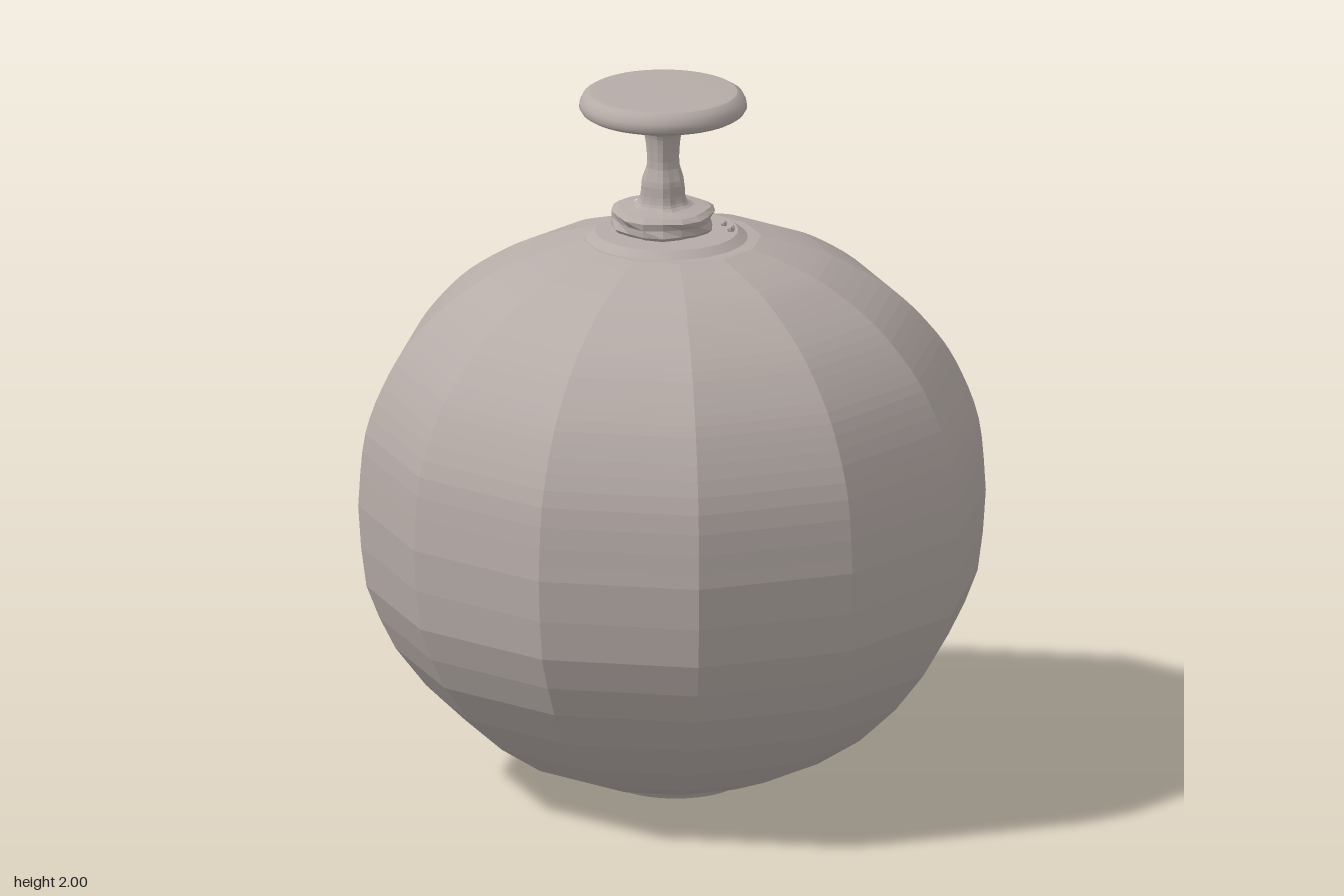
import * as THREE from 'three';

const shell = new THREE.MeshStandardMaterial({ color: 0xb5aba7 });
shell.name = 'warm grey';
const shellFaceted = new THREE.MeshStandardMaterial({ color: 0xb5aba7, flatShading: true });
shellFaceted.name = 'warm grey faceted';

const points = (list) => list.map(([r, y]) => new THREE.Vector2(r, y));

function add(parent, name, geometry, material) {
  const mesh = new THREE.Mesh(geometry, material);
  mesh.name = name;
  parent.add(mesh);
  return mesh;
}

export function createModel() {
  const model = new THREE.Group();
  model.name = 'gourdJar';

  // Twelve-sided body: coarse bands below, fine curve above
  const lower = points([[0, 0.005], [0.185, 0.01], [0.31, 0.045], [0.45, 0.1], [0.58, 0.185],
    [0.69, 0.29], [0.775, 0.4], [0.82, 0.49], [0.857, 0.585], [0.872, 0.7]]);
  const upper = new THREE.SplineCurve(points([[0.88, 0.82], [0.86, 1.03], [0.795, 1.2],
    [0.72, 1.31], [0.62, 1.41], [0.48, 1.5], [0.37, 1.545], [0.25, 1.58]])).getPoints(28);
  const body = new THREE.LatheGeometry([...lower, ...upper, new THREE.Vector2(0, 1.583)],
    12, THREE.MathUtils.degToRad(5.3));
  add(model, 'body', body, shellFaceted);

  // Round flat base
  add(model, 'base', new THREE.CylinderGeometry(0.19, 0.18, 0.015, 32), shell).position.set(0.01, 0.0075, 0.015);

  // Low round collar on top of the body
  const collar = new THREE.CylinderGeometry(0.2, 0.235, 0.025, 40);
  add(model, 'collar', collar, shell).position.set(-0.015, 1.587, -0.01);

  // Knob assembly, slightly off the body's axis
  const knob = new THREE.Group();
  knob.name = 'knob';
  knob.position.set(-0.025, 0, -0.03);
  model.add(knob);

  // Irregular foot: the rim is pushed in and out around its sides
  const foot = new THREE.LatheGeometry(points([[0.125, 1.595], [0.142, 1.61], [0.138, 1.63],
    [0.145, 1.65], [0.13, 1.662], [0.085, 1.67]]), 16);
  const p = foot.attributes.position;
  for (let i = 0; i < p.count; i++) {
    const a = Math.atan2(p.getX(i), p.getZ(i));
    const k = 1 + 0.045 * Math.sin(a * 5 + p.getY(i) * 60);
    p.setX(i, p.getX(i) * k);
    p.setZ(i, p.getZ(i) * k);
  }
  add(knob, 'foot', foot, shellFaceted);

  // Lumpy stem with shallow vertical ridges
  const stem = new THREE.LatheGeometry(new THREE.SplineCurve(points([[0.1, 1.66], [0.072, 1.675],
    [0.063, 1.7], [0.06, 1.74], [0.046, 1.79], [0.049, 1.86], [0.06, 1.89], [0.085, 1.905]])).getPoints(20), 20);
  const s = stem.attributes.position;
  for (let i = 0; i < s.count; i++) {
    const a = Math.atan2(s.getX(i), s.getZ(i));
    const k = 1 + 0.06 * Math.sin(a * 6 + s.getY(i) * 8);
    s.setX(i, s.getX(i) * k);
    s.setZ(i, s.getZ(i) * k);
  }
  stem.computeVertexNormals();
  add(knob, 'stem', stem, shellFaceted);

  // Disc: flared underside, rounded rim, flat top as separate lathes for crisp edges
  const discParts = {
    discUnderside: [[0.04, 1.885], [0.07, 1.9], [0.12, 1.92], [0.17, 1.93], [0.215, 1.935], [0.228, 1.943]],
    discRim: [[0.228, 1.943], [0.235, 1.955], [0.233, 1.97], [0.224, 1.988], [0.208, 1.998]],
    discTop: [[0.208, 1.998], [0.19, 2], [0, 2]],
  };
  for (const [name, list] of Object.entries(discParts)) {
    add(knob, name, new THREE.LatheGeometry(points(list), 48), shell);
  }

  // Crumbs beside the foot
  for (const [x, z, r] of [[0.19, 0.03, 0.013], [0.17, -0.02, 0.01], [0.04, -0.17, 0.01]]) {
    add(knob, 'crumb', new THREE.IcosahedronGeometry(r, 0), shellFaceted).position.set(x, 1.607, z);
  }
  return model;
}
